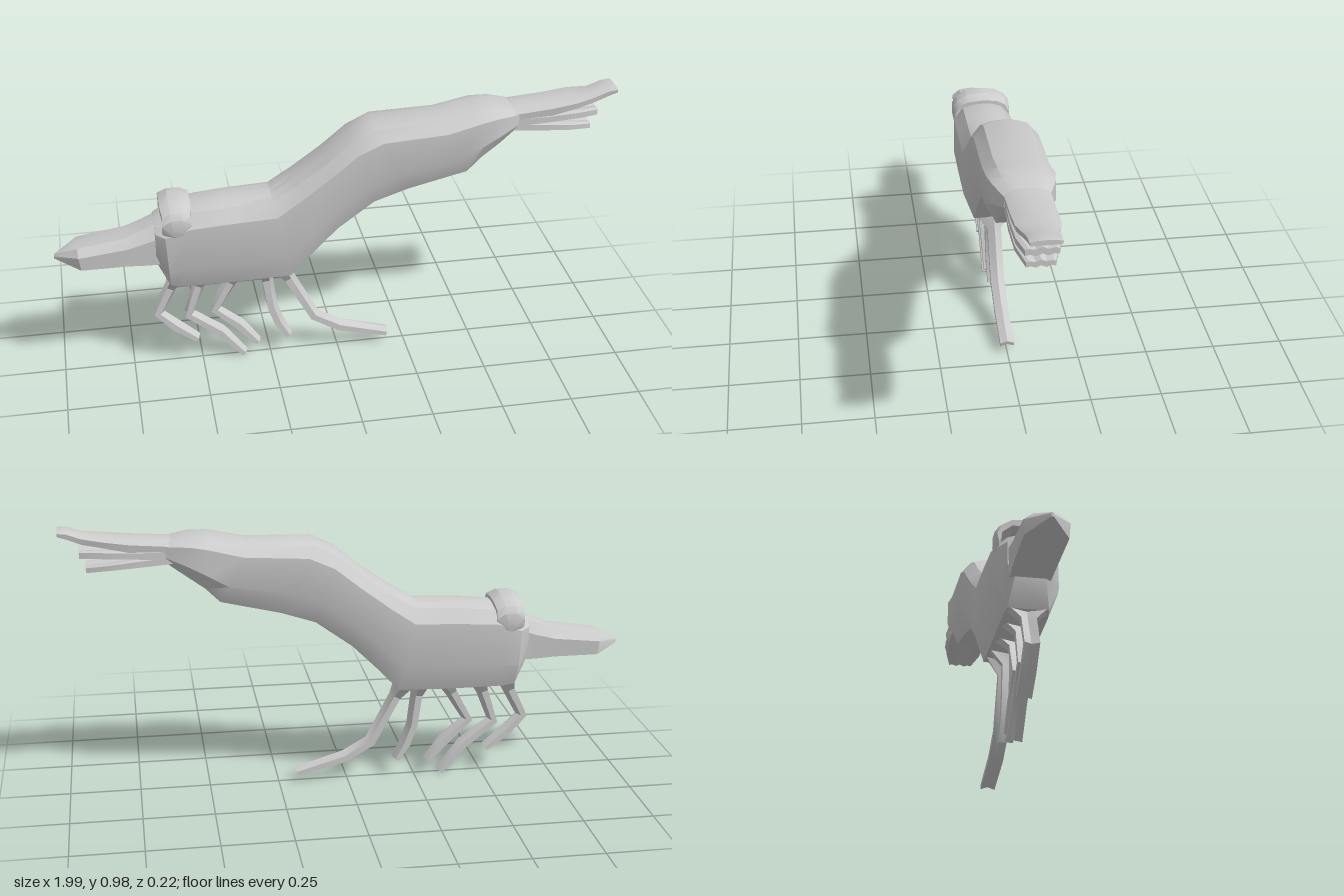
import * as THREE from 'three';
import { toCreasedNormals } from 'three/addons/utils/BufferGeometryUtils.js';

const material = new THREE.MeshStandardMaterial({ color: 0xcccccc, side: THREE.DoubleSide });

// Skin a closed solid over rings of equal point count, with fan caps at both ends.
function loft(name, rings) {
  const n = rings[0].length, pos = [], tris = [];
  rings.forEach(r => r.forEach(p => pos.push(p.x, p.y, p.z)));
  for (let i = 0; i < rings.length - 1; i++) {
    for (let j = 0; j < n; j++) {
      const a = i * n + j, b = i * n + (j + 1) % n;
      tris.push([a, b, a + n], [b, b + n, a + n]);
    }
  }
  [0, rings.length - 1].forEach((i, end) => {
    const c = new THREE.Vector3();
    rings[i].forEach(p => c.addScaledVector(p, 1 / n));
    const k = pos.length / 3;
    pos.push(c.x, c.y, c.z);
    for (let j = 0; j < n; j++) {
      const a = i * n + j, b = i * n + (j + 1) % n;
      tris.push(end ? [k, a, b] : [k, b, a]);
    }
  });
  // Turn the faces outward if the enclosed volume comes out negative.
  const at = i => new THREE.Vector3().fromArray(pos, i * 3);
  const volume = tris.reduce((s, [a, b, c]) => s + at(a).dot(at(b).cross(at(c))), 0);
  if (volume < 0) tris.forEach(t => t.reverse());
  const g = new THREE.BufferGeometry();
  g.setAttribute('position', new THREE.Float32BufferAttribute(pos, 3));
  g.setIndex(tris.flat());
  const mesh = new THREE.Mesh(toCreasedNormals(g, 0.5), material);
  mesh.name = name;
  return mesh;
}

// Mirrored ring between a top and bottom point; profile holds [depth, width] fractions.
function ring(profile, [xt, yt, xb, yb, w]) {
  const half = profile.map(([t, f]) =>
    new THREE.Vector3(xt + (xb - xt) * t, yt + (yb - yt) * t, w * f));
  const other = half.filter(p => p.z > 0).reverse().map(p => new THREE.Vector3(p.x, p.y, -p.z));
  return [...half, ...other];
}
const solid = (name, profile, stations) => loft(name, stations.map(s => ring(profile, s)));

const SHELL = [[0, 0], [0.01, 0.35], [0.05, 0.68], [0.2, 1], [0.7, 1], [1, 0.68]];
const BEAK = [[0, 0], [0.06, 0.6], [0.35, 1], [1, 0.95]];
const FAN = [[0, 0], [0.3, 0.35], [0.15, 0.8], [0.3, 1], [0.9, 1], [0.8, 0.7], [1, 0.35], [0.75, 0]];
const CHEVRON = [[0, 0], [0.4, 1], [1, 1], [0.6, 0]];

// Leg swept along a path in the x-y plane, flared across at the root.
function leg(name, path) {
  const pts = path.map(p => new THREE.Vector2(...p));
  return solid(name, CHEVRON, pts.map((p, i) => {
    const dir = pts[Math.min(i + 1, pts.length - 1)].clone().sub(pts[Math.max(i - 1, 0)]).normalize();
    const r = [0.027, 0.02][i] ?? (i === pts.length - 1 ? 0.013 : 0.019);
    return [p.x - dir.y * r, p.y + dir.x * r, p.x + dir.y * r, p.y - dir.x * r, i ? 0.025 : 0.07];
  }));
}

export function createModel() {
  const model = new THREE.Group();
  model.name = 'shrimp';

  // Armoured head and arched abdomen: top x, y, bottom x, y, half width
  model.add(solid('body', SHELL, [
    [-0.65, 0.605, -0.65, 0.45, 0.075],
    [-0.62, 0.62, -0.605, 0.36, 0.1],
    [-0.52, 0.66, -0.56, 0.355, 0.108],
    [-0.4, 0.672, -0.38, 0.355, 0.11],
    [-0.24, 0.68, -0.18, 0.36, 0.11],
    [-0.15, 0.735, -0.1, 0.445, 0.11],
    [-0.05, 0.805, -0.01, 0.535, 0.11],
    [0.04, 0.88, 0.12, 0.63, 0.11],
    [0.12, 0.92, 0.24, 0.67, 0.11],
    [0.35, 0.925, 0.45, 0.72, 0.11],
    [0.48, 0.95, 0.5, 0.77, 0.11],
    [0.55, 0.95, 0.57, 0.82, 0.1],
    [0.63, 0.935, 0.63, 0.86, 0.072],
  ]));

  // Beak tapering to a point
  model.add(solid('rostrum', BEAK, [
    [-1, 0.49, -1, 0.475, 0.004],
    [-0.92, 0.532, -0.91, 0.455, 0.074],
    [-0.75, 0.56, -0.75, 0.455, 0.074],
    [-0.68, 0.59, -0.68, 0.45, 0.072],
    [-0.63, 0.615, -0.63, 0.45, 0.072],
  ]));

  // Band over the head with an eye knob at each end: z, y, radius in x, thickness
  const arch = [[0.107, 0.585, 0.02, 0.02], [0.1, 0.6, 0.055, 0.05], [0.088, 0.635, 0.052, 0.034],
    [0.055, 0.657, 0.058, 0.03], [0, 0.66, 0.058, 0.032]];
  const span = [...arch, ...arch.slice(0, -1).reverse().map(([z, ...rest]) => [-z, ...rest])];
  model.add(loft('eyeBand', span.map(([z, y, rx, ry]) => {
    const lean = Math.min(1, Math.abs(z) / 0.1);
    return Array.from({ length: 8 }, (_, j) => {
      const a = (j + 0.5) * Math.PI / 4, u = Math.sin(a) * ry;
      return new THREE.Vector3(-0.575 + Math.cos(a) * rx, y + u * (1 - lean * 0.2),
        z + Math.sign(z) * u * lean * 0.15);
    });
  })));

  // Tail fan: one upper plate and two lower lobes
  model.add(solid('tailPlate', BEAK, [
    [0.6, 0.938, 0.6, 0.89, 0.074],
    [0.75, 0.948, 0.75, 0.905, 0.072],
    [0.84, 0.957, 0.84, 0.925, 0.07],
    [0.91, 0.965, 0.91, 0.935, 0.05],
    [0.96, 0.983, 0.96, 0.955, 0.05],
    [0.99, 0.982, 0.99, 0.965, 0.05],
  ]));
  model.add(solid('middleTailLobe', FAN, [
    [0.6, 0.915, 0.6, 0.87, 0.07],
    [0.75, 0.915, 0.75, 0.88, 0.073],
    [0.85, 0.92, 0.85, 0.885, 0.07],
    [0.92, 0.917, 0.92, 0.885, 0.052],
  ]));
  model.add(solid('lowerTailLobe', FAN, [
    [0.6, 0.895, 0.6, 0.858, 0.07],
    [0.72, 0.885, 0.72, 0.85, 0.073],
    [0.82, 0.872, 0.82, 0.842, 0.068],
    [0.9, 0.86, 0.9, 0.832, 0.045],
  ]));

  // Legs from front to back
  [
    [[-0.58, 0.365], [-0.6, 0.315], [-0.65, 0.215], [-0.59, 0.155], [-0.515, 0.095]],
    [[-0.475, 0.365], [-0.5, 0.315], [-0.54, 0.2], [-0.43, 0.115], [-0.345, 0.012]],
    [[-0.355, 0.365], [-0.385, 0.315], [-0.445, 0.21], [-0.36, 0.135], [-0.295, 0.055]],
    [[-0.26, 0.365], [-0.255, 0.315], [-0.24, 0.2], [-0.215, 0.13], [-0.18, 0.07]],
    [[-0.2, 0.37], [-0.175, 0.315], [-0.085, 0.145], [0.01, 0.09], [0.185, 0.042]],
  ].forEach((path, i) => model.add(leg(`leg${i + 1}`, path)));

  return model;
}
